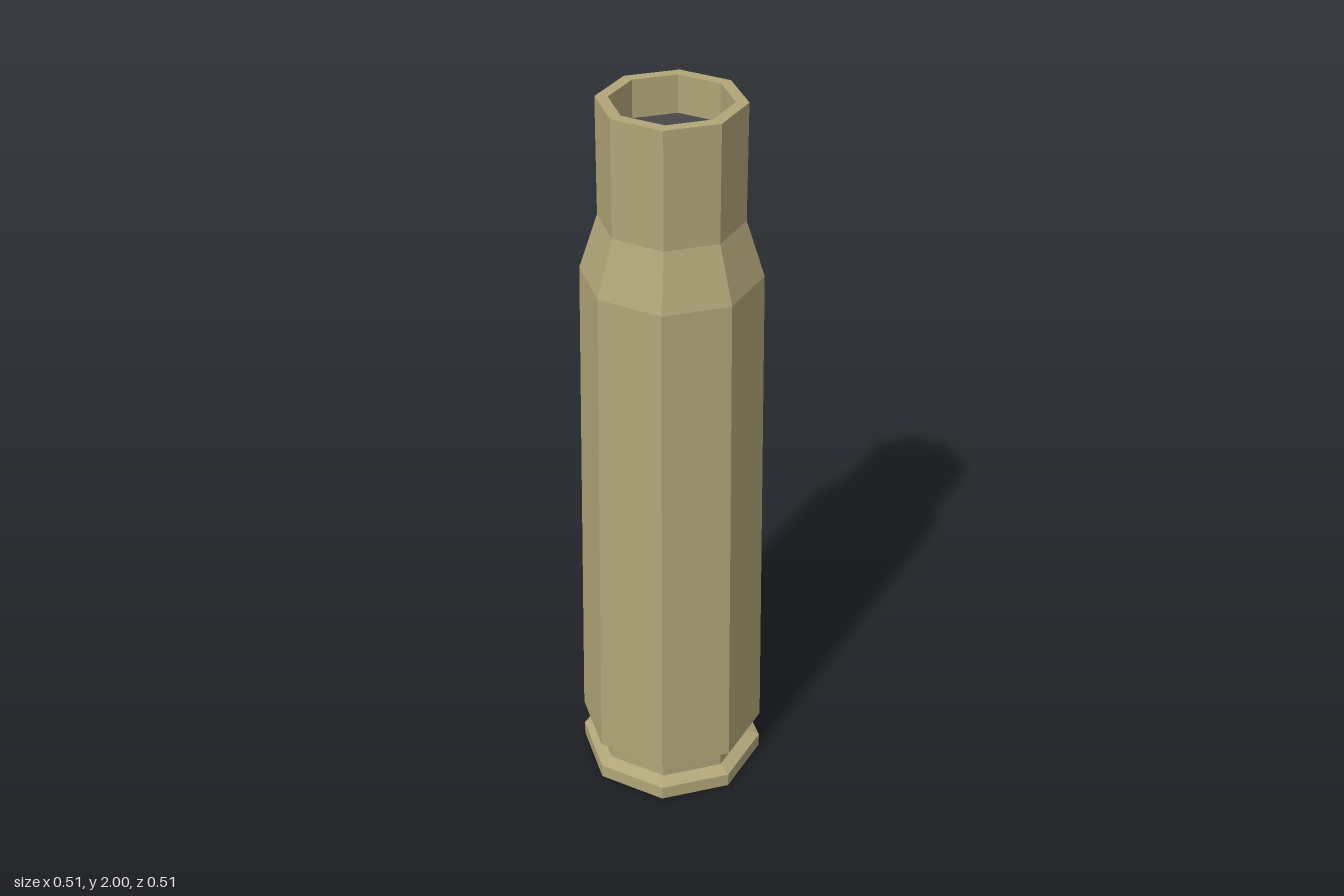
import * as THREE from 'three';

const SIDES = 8;

export function createModel() {
  const group = new THREE.Group();
  const brass = new THREE.MeshStandardMaterial({ color: 0xb0a578, flatShading: true });
  const dark = new THREE.MeshStandardMaterial({ color: 0x484848, flatShading: true });

  // Each part is an eight-sided lathe of [radius, height] pairs, with a corner facing +z
  const addLathe = (name, profile, material) => {
    const points = profile.map(([r, y]) => new THREE.Vector2(r, y));
    const mesh = new THREE.Mesh(new THREE.LatheGeometry(points, SIDES), material);
    mesh.name = name;
    group.add(mesh);
  };

  // Closed base with its rim, up to the extractor groove
  addLathe('baseRim', [[0, 0], [0.255, 0], [0.255, 0.04], [0.22, 0.055]], brass);
  addLathe('extractorGroove', [[0.22, 0.055], [0.22, 0.105], [0.255, 0.12]], brass);

  // Tapered body and shoulder
  addLathe('body', [[0.255, 0.12], [0.233, 1.54]], brass);
  addLathe('shoulder', [[0.233, 1.54], [0.185, 1.69]], brass);

  // Neck, turned over the lip and down inside the mouth
  addLathe('neck', [[0.185, 1.69], [0.185, 2], [0.153, 2], [0.153, 1.9]], brass);

  // Dark floor inside the mouth
  addLathe('mouthFloor', [[0.153, 1.9], [0, 1.9]], dark);

  return group;
}
